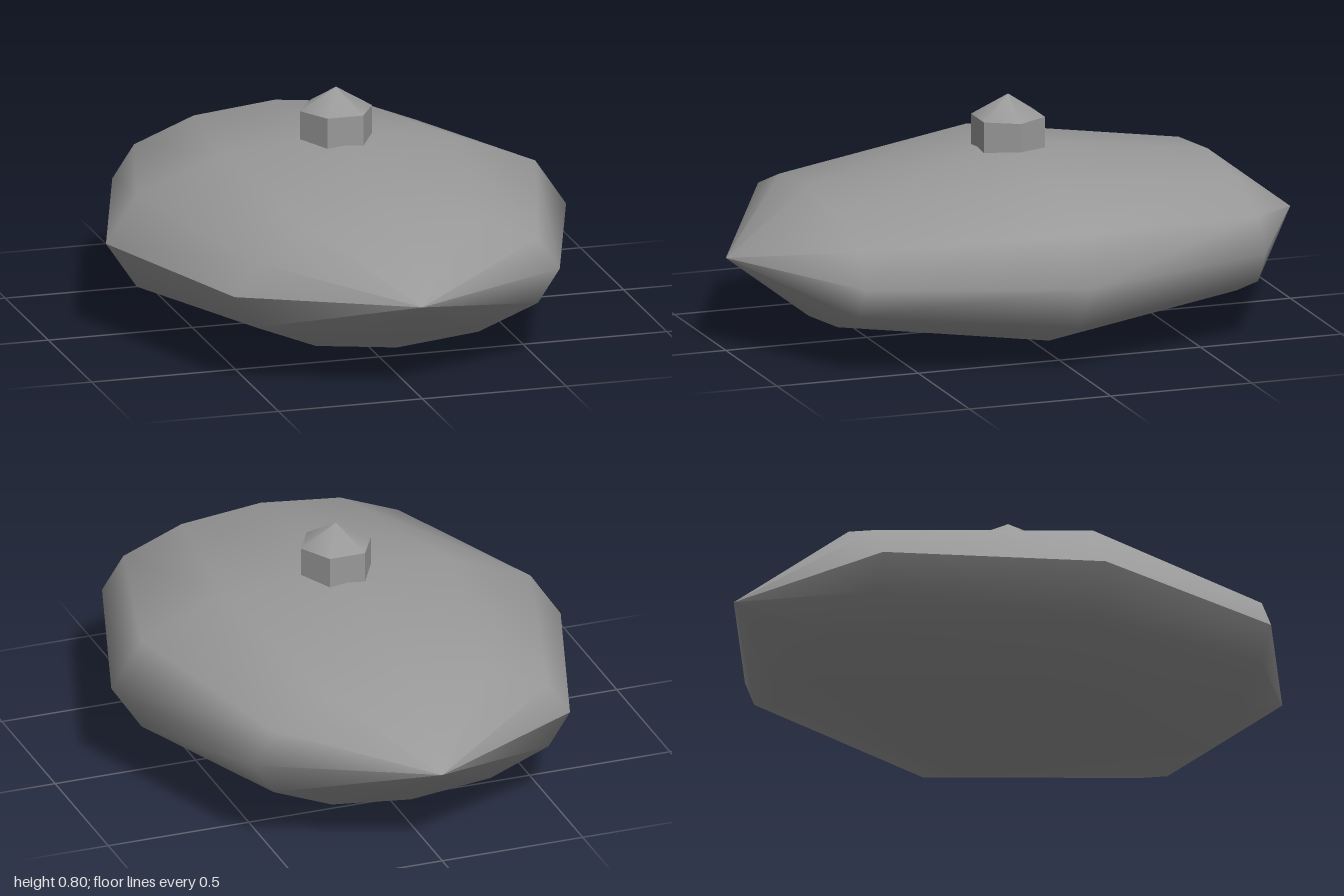
import * as THREE from 'three';

export function createModel() {
  const model = new THREE.Group();
  const grey = new THREE.MeshStandardMaterial({ color: 0x999999 });
  grey.name = 'grey';

  const add = (name, geometry, y) => {
    const mesh = new THREE.Mesh(geometry, grey);
    mesh.name = name;
    mesh.position.y = y;
    model.add(mesh);
  };

  // Flattened low-poly ellipsoid with its poles at the front and back
  const hull = new THREE.SphereGeometry(1, 12, 4);
  hull.rotateX(Math.PI / 2);
  hull.scale(0.8, 0.318, 1);
  hull.computeVertexNormals();
  add('hull', hull, 0.318);

  // Six-sided knob on top, corners pointing left and right
  const turn = Math.PI / 6;
  const wall = new THREE.CylinderGeometry(0.125, 0.125, 0.16, 6, 1, true)
    .rotateY(turn).toNonIndexed();
  wall.computeVertexNormals();
  add('knobWall', wall, 0.64);

  // Shallow pointed cap
  const cap = new THREE.ConeGeometry(0.125, 0.075, 6, 1, true).rotateY(turn);
  add('knobCap', cap, 0.7575);

  return model;
}
